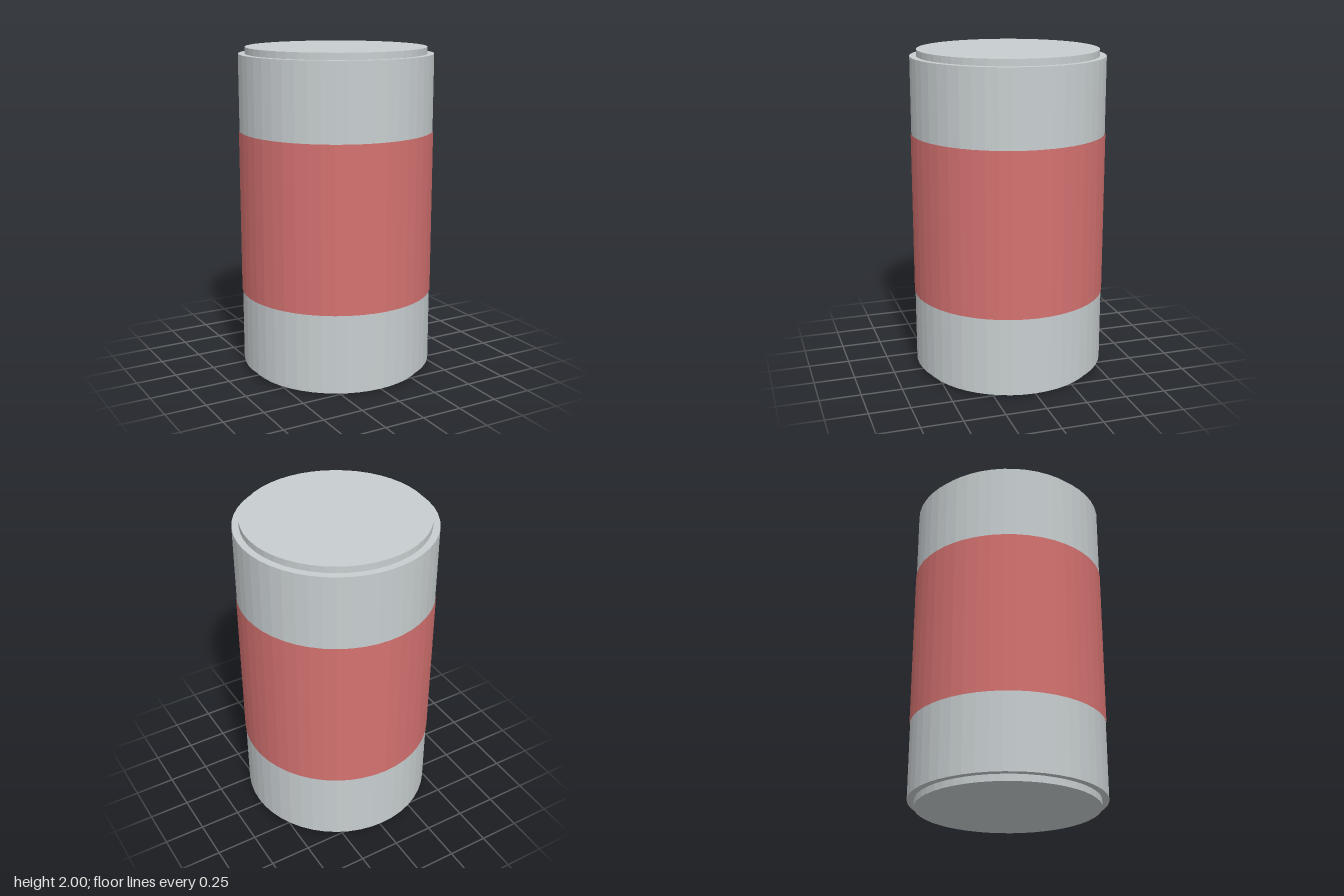
import * as THREE from 'three';

const SIDES = 48;

export function createModel() {
  const model = new THREE.Group();
  model.name = 'can';

  const metal = new THREE.MeshStandardMaterial({ color: 0xc8ced0, flatShading: true });
  metal.name = 'light grey metal';
  const red = new THREE.MeshStandardMaterial({ color: 0xd47270, flatShading: true });
  red.name = 'soft red';

  // Upright cylinder between two heights
  function drum(name, radius, y0, y1, material, open = false) {
    const geometry = new THREE.CylinderGeometry(radius, radius, y1 - y0, SIDES, 1, open);
    const mesh = new THREE.Mesh(geometry, material);
    mesh.name = name;
    mesh.position.y = (y0 + y1) / 2;
    model.add(mesh);
  }

  // Main body with a narrower lid and base
  drum('body', 0.588, 0.04, 1.96, metal);
  drum('lid', 0.547, 1.96, 2, metal);
  drum('base', 0.547, 0, 0.04, metal);

  // Thin label wrapped around the middle
  drum('labelBand', 0.592, 0.5, 1.5, red, true);

  return model;
}
